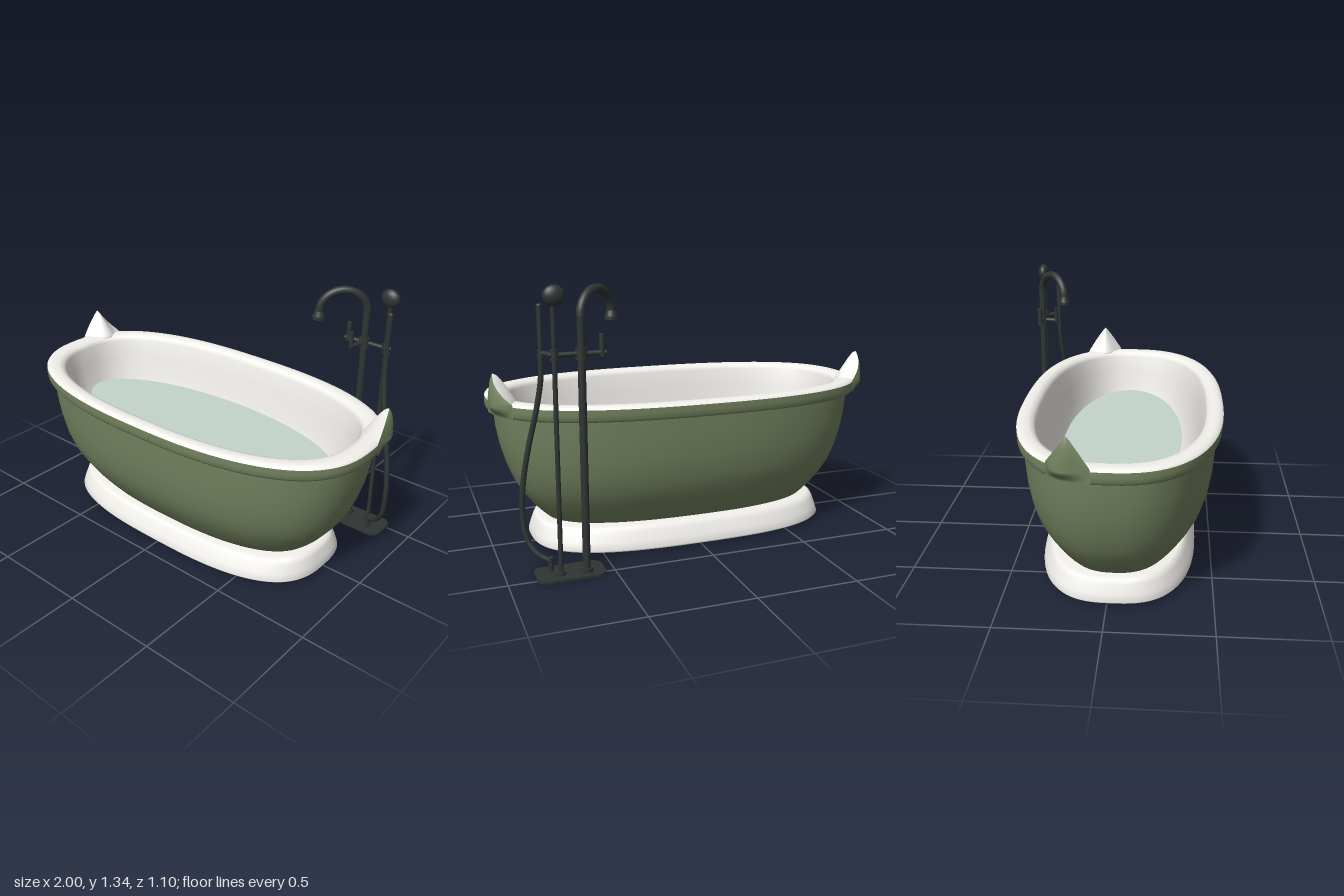
import * as THREE from 'three';
import { ParametricGeometry } from 'three/addons/geometries/ParametricGeometry.js';

const mat = (color, side = THREE.FrontSide) => new THREE.MeshStandardMaterial({ color, side });
const green = mat(0x74835f, THREE.DoubleSide);
const white = mat(0xf3f1ec, THREE.DoubleSide);
const metal = mat(0x2f3534);
const waterMat = mat(0xc5d5cb, THREE.DoubleSide);
const V = (x, y, z) => new THREE.Vector3(x, y, z);

// Plan of the rim: a superellipse, fuller than an oval
const TUB_Z = 0.03, RIM_X = 0.997, RIM_Z = 0.516, TUB_N = 2.5;

function add(parent, name, geometry, material) {
  const mesh = new THREE.Mesh(geometry, material);
  mesh.name = name;
  parent.add(mesh);
  return mesh;
}

// Loft of superellipse rings; each row is [y, half length, half depth].
// A repeated row gives a sharp edge.
function ovalLoft(rows, cz, power, n = 96) {
  const pos = [], idx = [];
  const bend = (c) => Math.sign(c) * Math.pow(Math.abs(c), 2 / power);
  for (const [y, a, b] of rows) {
    for (let i = 0; i < n; i++) {
      const t = (2 * Math.PI * i) / n;
      pos.push(a * bend(Math.cos(t)), y, cz + b * bend(Math.sin(t)));
    }
  }
  for (let j = 0; j < rows.length - 1; j++) {
    for (let i = 0; i < n; i++) {
      const a = j * n + i, b = j * n + ((i + 1) % n);
      idx.push(a, a + n, b, b, a + n, b + n);
    }
  }
  const g = new THREE.BufferGeometry();
  g.setAttribute('position', new THREE.Float32BufferAttribute(pos, 3));
  g.setIndex(idx);
  g.computeVertexNormals();
  return g;
}

// Pointed ear on the rim: p runs across it, q runs up to the tip
function earSurface(side, inner) {
  const foot = inner ? 0.76 : 0.705;
  return new ParametricGeometry((p, q, target) => {
    const y = foot + (0.91 - foot) * q, v = 2 * p - 1;
    const h = THREE.MathUtils.clamp((y - 0.77) / 0.14, 0, 1);
    const z = -0.147 + 0.1 * Math.pow(1 - h, 0.9) * v;
    const rim = RIM_X * Math.pow(1 - Math.pow(Math.abs(z - TUB_Z) / RIM_Z, TUB_N), 1 / TUB_N);
    const swell = (1 - v * v * (1 - h)) * THREE.MathUtils.smoothstep(y, 0.70, 0.755);
    let x = rim + (1 - rim) * swell - 0.02 * h ** 3;
    if (inner) x -= 0.13 * Math.pow(1 - h, 0.65) * (1 - v * v);
    target.set(side * x, y, z);
  }, 16, 20);
}

// Straight round bar between two points
function bar(parent, name, a, b, r, r2 = r) {
  const m = add(parent, name, new THREE.CylinderGeometry(r2, r, a.distanceTo(b), 20), metal);
  m.position.copy(a).lerp(b, 0.5);
  m.quaternion.setFromUnitVectors(V(0, 1, 0), b.clone().sub(a).normalize());
}

function tube(parent, name, points, r, seg = 64) {
  const curve = new THREE.CatmullRomCurve3(points);
  add(parent, name, new THREE.TubeGeometry(curve, seg, r, 14), metal);
}

function ball(parent, name, p, sx, sy, sz) {
  const m = add(parent, name, new THREE.SphereGeometry(1, 24, 16), metal);
  m.position.copy(p);
  m.scale.set(sx, sy, sz);
}

function buildTub() {
  const tub = new THREE.Group();
  tub.name = 'bathtub';

  // Flared plinth
  add(tub, 'plinth', ovalLoft([
    [0.015, 0, 0], [0.015, 0.79, 0.388], [0.015, 0.79, 0.388], [0.025, 0.80, 0.395],
    [0.06, 0.79, 0.383], [0.105, 0.775, 0.362], [0.124, 0.765, 0.35],
    [0.133, 0.745, 0.335], [0.135, 0.66, 0.25],
  ], 0.025, 2.8), white);

  // Outer body and overhanging lip
  add(tub, 'outerShell', ovalLoft([
    [0.12, 0.70, 0.295], [0.16, 0.745, 0.328], [0.20, 0.783, 0.358], [0.26, 0.83, 0.397],
    [0.32, 0.867, 0.43], [0.40, 0.90, 0.457], [0.50, 0.93, 0.474], [0.60, 0.948, 0.482],
    [0.695, 0.957, 0.487], [0.695, 0.957, 0.487], [0.70, 0.985, 0.506],
    [0.712, 0.995, 0.514], [0.735, RIM_X, RIM_Z], [0.76, 0.995, RIM_Z],
  ], TUB_Z, TUB_N), green);

  // Rolled rim and inside of the basin
  add(tub, 'innerBasin', ovalLoft([
    [0.76, 0.995, RIM_Z], [0.77, 0.988, 0.508], [0.775, 0.965, 0.49], [0.774, 0.925, 0.46],
    [0.765, 0.90, 0.438], [0.745, 0.888, 0.426], [0.65, 0.872, 0.41], [0.55, 0.855, 0.395],
    [0.45, 0.83, 0.375], [0.35, 0.785, 0.34], [0.25, 0.71, 0.28],
    [0.19, 0.62, 0.2], [0.17, 0, 0],
  ], TUB_Z, TUB_N), white);

  // Ears at both ends
  for (const side of [1, -1]) {
    const ear = new THREE.Group();
    ear.name = side > 0 ? 'leftEar' : 'rightEar';
    add(ear, 'earOuter', earSurface(side, false), green);
    add(ear, 'earInner', earSurface(side, true), white);
    tub.add(ear);
  }

  // Water surface and overflow drain
  const water = add(tub, 'water', new THREE.CircleGeometry(1, 80), waterMat);
  water.rotation.x = -Math.PI / 2;
  water.scale.set(0.8, 0.31, 1);
  water.position.set(0, 0.555, TUB_Z);
  ball(tub, 'overflowDrain', V(-0.015, 0.38, -0.31), 0.057, 0.057, 0.027);
  return tub;
}

function buildFaucet() {
  const f = new THREE.Group();
  f.name = 'floorFaucet';

  // Rounded floor plate
  const s = new THREE.Shape();
  const x0 = 0.545, x1 = 0.868, z0 = 0.375, z1 = 0.55, r = 0.05;
  s.absarc(x1 - r, z1 - r, r, 0, Math.PI / 2);
  s.absarc(x0 + r, z1 - r, r, Math.PI / 2, Math.PI);
  s.absarc(x0 + r, z0 + r, r, Math.PI, Math.PI * 1.5);
  s.absarc(x1 - r, z0 + r, r, Math.PI * 1.5, Math.PI * 2);
  const plate = add(f, 'floorPlate',
    new THREE.ExtrudeGeometry(s, { depth: 0.012, bevelEnabled: false }), metal);
  plate.rotation.x = -Math.PI / 2;

  // Spout: riser and gooseneck curving over the tub
  const base = V(0.633, 0, -0.487), reach = V(-0.182, 0, 0.153), arch = [];
  bar(f, 'spoutRiser', base, V(0.633, 1.2, -0.487), 0.018);
  for (let i = 0; i <= 12; i++) {
    const t = (Math.PI * i) / 12;
    arch.push(base.clone().addScaledVector(reach, (1 - Math.cos(t)) / 2)
      .setY(1.2 + 0.112 * Math.sin(t)));
  }
  tube(f, 'gooseneck', arch, 0.021);
  const tip = base.clone().add(reach);
  bar(f, 'spoutFlare', tip.clone().setY(1.178), tip.clone().setY(1.205), 0.03, 0.021);
  bar(f, 'spoutFlange', tip.clone().setY(1.162), tip.clone().setY(1.178), 0.033);

  // Thin second riser with its shower head
  bar(f, 'showerRiser', V(0.755, 0, -0.49), V(0.755, 1.26, -0.49), 0.011);
  ball(f, 'showerHead', V(0.75, 1.293, -0.495), 0.05, 0.047, 0.03);

  // Collars on the floor plate and at the valve
  for (const [x, z, rad] of [[0.633, -0.487, 0.03], [0.755, -0.49, 0.022]]) {
    bar(f, 'footCollar', V(x, 0.01, z), V(x, 0.03, z), rad);
    bar(f, 'valveCollar', V(x, 1.01, z), V(x, 1.06, z), rad * 0.9);
  }

  // Cross bar, lever handles and wand holder
  bar(f, 'crossBar', V(0.52, 1.035, -0.49), V(0.785, 1.035, -0.49), 0.012);
  bar(f, 'sideLever', V(0.54, 1.02, -0.49), V(0.54, 1.12, -0.49), 0.013);
  bar(f, 'valveArm', V(0.633, 1.035, -0.487), V(0.605, 1.035, -0.4), 0.012);
  bar(f, 'frontLever', V(0.605, 1.025, -0.405), V(0.605, 1.11, -0.405), 0.011);
  bar(f, 'holderArm', V(0.755, 1.035, -0.49), V(0.80, 1.035, -0.415), 0.012);
  bar(f, 'holderCup', V(0.80, 1.02, -0.415), V(0.80, 1.05, -0.415), 0.016);

  // Hand wand and its hose
  bar(f, 'handWand', V(0.80, 1.0, -0.415), V(0.80, 1.245, -0.415), 0.01, 0.014);
  ball(f, 'wandTip', V(0.80, 1.245, -0.415), 0.014, 0.01, 0.014);
  tube(f, 'hose', [
    V(0.80, 1.03, -0.415), V(0.803, 0.92, -0.412), V(0.825, 0.78, -0.40), V(0.865, 0.6, -0.383),
    V(0.895, 0.42, -0.372), V(0.902, 0.27, -0.37), V(0.885, 0.16, -0.385),
    V(0.845, 0.095, -0.41), V(0.79, 0.06, -0.43),
  ], 0.013, 90);
  bar(f, 'hoseOutlet', V(0.79, 0.01, -0.43), V(0.79, 0.08, -0.43), 0.013);
  return f;
}

export function createModel() {
  const model = new THREE.Group();
  model.name = 'bathtubWithFaucet';
  model.add(buildTub(), buildFaucet());
  return model;
}
